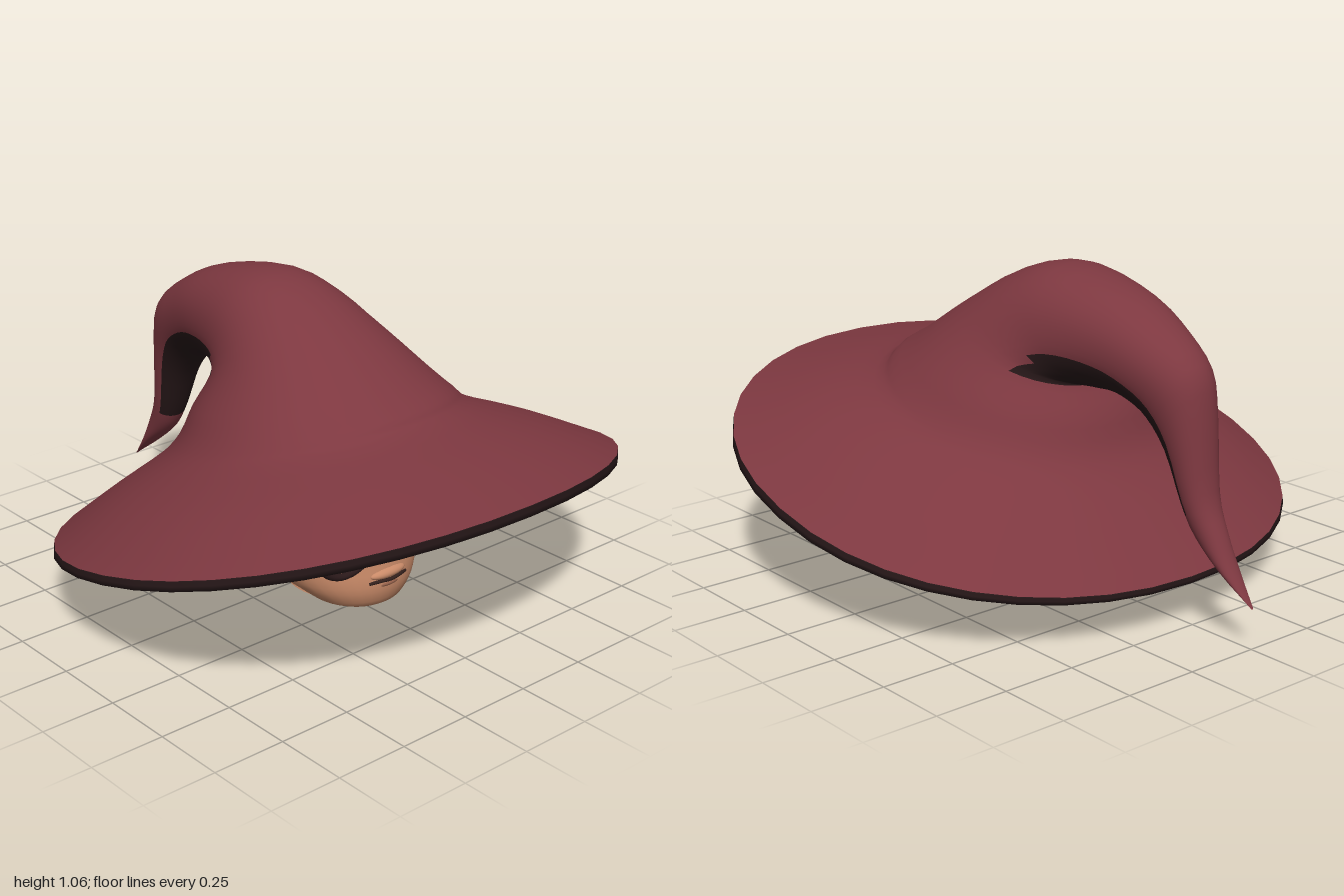
import * as THREE from 'three';

const mat = (name, color, double = false) => {
  const m = new THREE.MeshStandardMaterial({ color, side: double ? THREE.DoubleSide : THREE.FrontSide });
  m.name = name;
  return m;
};

// Loft through rings [frontZ, frontY, backZ, backY, halfWidth, sideSag], listed bottom to top.
// isDark(ringPosition, angle) picks the second material; flip turns the surface inward.
function loft(rows, { seg = 40, sub = 3, power = 1, flip = false, isDark = () => false } = {}) {
  const curve = (f) => new THREE.CatmullRomCurve3(rows.map(f), false, 'catmullrom', 0.5);
  const front = curve((r) => new THREE.Vector3(r[0], r[1], r[4]));
  const back = curve((r) => new THREE.Vector3(r[2], r[3], r[5] || 0));
  const n = (rows.length - 1) * sub;
  const pos = [], main = [], dark = [];
  const bend = (v) => Math.sign(v) * Math.abs(v) ** power;
  for (let i = 0; i <= n; i++) {
    const f = front.getPoint(i / n), b = back.getPoint(i / n);
    for (let j = 0; j < seg; j++) {
      const a = (j / seg) * Math.PI * 2;
      const c = bend(Math.cos(a)), s = bend(Math.sin(a));
      pos.push(s * Math.max(f.z, 0.002),
        (f.y + b.y) / 2 + c * (f.y - b.y) / 2 - b.z * s * s,
        (f.x + b.x) / 2 + c * (f.x - b.x) / 2);
    }
  }
  for (let i = 0; i < n; i++) for (let j = 0; j < seg; j++) {
    const k = (j + 1) % seg;
    const a = i * seg + j, b = i * seg + k, c = b + seg, d = a + seg;
    const list = isDark((i + 0.5) / sub, ((j + 0.5) / seg) * Math.PI * 2) ? dark : main;
    list.push(...(flip ? [a, c, b, a, d, c] : [a, b, c, a, c, d]));
  }
  const g = new THREE.BufferGeometry();
  g.setAttribute('position', new THREE.Float32BufferAttribute(pos, 3));
  g.setIndex([...main, ...dark]);
  g.addGroup(0, main.length, 0);
  if (dark.length) g.addGroup(main.length, dark.length, 1);
  g.computeVertexNormals();
  return g;
}

const tube = (pts, radius, n = 20) => new THREE.TubeGeometry(
  new THREE.CatmullRomCurve3(pts.map((p) => new THREE.Vector3(...p))), n, radius, 8);

export function createModel() {
  const model = new THREE.Group();
  const felt = mat('hat felt', 0x7d3840, true);
  const lining = mat('dark lining', 0x261718, true);
  const skin = mat('skin', 0xc98a68, true);
  const hairMat = mat('brown hair', 0x74501f);
  const frame = mat('glasses frame', 0x2c1a1b);
  const white = mat('eye white', 0xc4c8cc);
  const irisMat = mat('iris', 0x5a2622);
  const black = mat('pupil', 0x160d0d);
  const browMat = mat('brow', 0x33201c);
  const lipMat = mat('lip', 0x94604a);

  const add = (name, geo, material, parent = model) => {
    const m = new THREE.Mesh(geo, material);
    m.name = name;
    parent.add(m);
    return m;
  };

  // Hat: brim, crown and drooping tip in one sweep, dark under the bend
  add('hat', loft([
    [1.0, 0.62, -0.745, 0.16, 0.93, 0.03],
    [0.73, 0.665, -0.6, 0.29, 0.72, 0.01],
    [0.52, 0.70, -0.48, 0.40, 0.52],
    [0.47, 0.74, -0.41, 0.49, 0.45],
    [0.38, 0.79, -0.37, 0.6, 0.39],
    [0.2, 0.91, -0.32, 0.69, 0.30],
    [0.0, 1.02, -0.34, 0.69, 0.245],
    [-0.19, 1.06, -0.39, 0.69, 0.21],
    [-0.45, 1.01, -0.46, 0.69, 0.17],
    [-0.62, 0.93, -0.53, 0.67, 0.14],
    [-0.75, 0.83, -0.59, 0.63, 0.115],
    [-0.79, 0.7, -0.66, 0.54, 0.09],
    [-0.82, 0.45, -0.72, 0.40, 0.065],
    [-0.87, 0.33, -0.77, 0.31, 0.05],
    [-0.93, 0.22, -0.87, 0.225, 0.035],
    [-1.0, 0.13, -0.995, 0.135, 0.005],
  ], { power: 0.94, isDark: (r, a) => r > 5 && r < 12.4 && Math.cos(a) < (r < 6 ? -0.5 : -0.28) }),
  [felt, lining]);

  // Rim edge and underside of the brim
  add('hatLining', loft([
    [1.0, 0.618, -0.745, 0.158, 0.93, 0.03],
    [0.975, 0.575, -0.73, 0.14, 0.915, 0.03],
    [0.73, 0.62, -0.58, 0.24, 0.69, 0.01],
    [0.5, 0.65, -0.46, 0.36, 0.48],
    [0.36, 0.73, -0.35, 0.55, 0.37],
    [0.1, 0.82, -0.22, 0.70, 0.2],
    [-0.04, 0.82, -0.06, 0.8, 0.01],
  ], { power: 0.94, flip: true }), lining);

  // Head and open neck
  add('head', loft([
    [0.25, 0.05, 0.2, 0.055, 0.02],
    [0.36, 0.04, 0.1, 0.08, 0.15],
    [0.395, 0.09, 0.0, 0.12, 0.215],
    [0.4, 0.15, -0.15, 0.17, 0.268],
    [0.39, 0.22, -0.24, 0.22, 0.3],
    [0.395, 0.3, -0.28, 0.28, 0.315],
    [0.385, 0.37, -0.3, 0.36, 0.315],
    [0.385, 0.45, -0.3, 0.45, 0.315],
    [0.33, 0.57, -0.27, 0.56, 0.28],
    [0.2, 0.66, -0.15, 0.65, 0.18],
    [0.05, 0.69, 0.0, 0.69, 0.01],
  ]), skin);
  add('neck', loft([
    [0.185, 0.0, -0.065, 0.04, 0.117],
    [0.175, 0.06, -0.05, 0.1, 0.105],
    [0.175, 0.14, -0.05, 0.17, 0.105],
  ]), skin);

  // Nose and mouth
  const ball = (name, material, p, s, parent) => {
    const m = add(name, new THREE.SphereGeometry(1, 24, 16), material, parent);
    m.position.set(...p);
    m.scale.set(...s);
    return m;
  };
  ball('noseTip', skin, [0, 0.255, 0.4], [0.042, 0.034, 0.042]);
  ball('noseBridge', skin, [0, 0.31, 0.385], [0.024, 0.08, 0.026]).rotation.x = -0.12;
  ball('upperLip', skin, [0, 0.165, 0.385], [0.075, 0.02, 0.025]);
  ball('lowerLip', lipMat, [0, 0.128, 0.38], [0.055, 0.012, 0.024]);
  add('mouth', tube([[-0.08, 0.143, 0.385], [-0.04, 0.148, 0.402], [0, 0.147, 0.408],
    [0.04, 0.148, 0.402], [0.08, 0.143, 0.385]], 0.006), browMat);

  // Pointed ear outline, leaning back
  const earShape = new THREE.Shape();
  earShape.moveTo(0.27, 0.27);
  earShape.quadraticCurveTo(0.5, 0.285, 0.625, 0.395);
  earShape.quadraticCurveTo(0.5, 0.43, 0.4, 0.405);
  earShape.lineTo(0.27, 0.37);

  for (const s of [-1, 1]) {
    const side = s > 0 ? 'left' : 'right';

    const ear = new THREE.ExtrudeGeometry(earShape, {
      depth: 0.012, bevelEnabled: true, bevelThickness: 0.015, bevelSize: 0.01, bevelSegments: 3, curveSegments: 10,
    });
    ear.translate(0, 0, -0.006);
    if (s < 0) ear.rotateY(Math.PI);
    const p = ear.attributes.position;
    for (let i = 0; i < p.count; i++) {
      p.setZ(i, p.getZ(i) + 0.03 - (Math.abs(p.getX(i)) - 0.3) * 0.3 - (p.getY(i) - 0.33) * 0.7);
    }
    ear.computeVertexNormals();
    add(side + 'Ear', ear, skin);

    // Eye with lash line and brow, turned to follow the face
    const eye = new THREE.Group();
    eye.name = side + 'Eye';
    eye.position.set(s * 0.178, 0.335, 0.332);
    eye.rotation.y = s * 0.55;
    model.add(eye);
    ball('eyeball', white, [0, 0, 0], [0.074, 0.05, 0.028], eye);
    ball('iris', irisMat, [0, -0.006, 0.017], [0.034, 0.036, 0.014], eye);
    ball('pupil', black, [0, -0.006, 0.024], [0.018, 0.02, 0.0095], eye);
    add('lash', tube([[-0.078, 0.012, 0.008], [-0.045, 0.042, 0.018], [0, 0.053, 0.02],
      [0.045, 0.045, 0.014], [0.088, 0.022, -0.004]].map(([x, y, z]) => [s * x, y, z]), 0.01), browMat, eye);
    add('brow', tube([[-0.075, 0.115, 0.012], [-0.03, 0.133, 0.016], [0.04, 0.125, 0.01],
      [0.115, 0.085, -0.015]].map(([x, y, z]) => [s * x, y, z]), 0.016), browMat, eye);

    // Glasses: lens rim and temple
    const rim = add(side + 'GlassesRim', new THREE.TorusGeometry(0.138, 0.012, 10, 40), frame);
    rim.position.set(s * 0.178, 0.347, 0.405);
    rim.rotation.x = 0.12;
    add(side + 'Temple', tube([[s * 0.315, 0.36, 0.405], [s * 0.335, 0.375, 0.25], [s * 0.335, 0.38, 0.04]], 0.008), frame);
  }
  add('glassesBridge', tube([[-0.045, 0.365, 0.407], [-0.02, 0.387, 0.425], [0.02, 0.387, 0.425], [0.045, 0.365, 0.407]], 0.01), frame);

  // Hair: scalp cap plus a ring of tapered locks
  const cap = add('hairCap', new THREE.SphereGeometry(1, 32, 16, 0, Math.PI * 2, 0, Math.PI / 2), hairMat);
  cap.scale.set(0.345, 0.28, 0.365);
  cap.position.set(0, 0.42, 0.035);
  cap.rotation.x = -0.35;
  const lockGeo = new THREE.LatheGeometry(
    [[0, -1], [0.35, -0.8], [0.75, -0.4], [1, 0.1], [0.95, 0.5], [0.6, 0.85], [0, 1]].map((q) => new THREE.Vector2(...q)), 14);
  const count = 22;
  for (let i = 0; i < count; i++) {
    const a = ((i + 0.5) / count) * Math.PI * 2, c = Math.cos(a);
    const wobble = 0.02 * Math.sin(i * 2.4);
    const bottom = (c > 0 ? 0.38 + 0.06 * c : 0.38 + 0.17 * c) + wobble;
    const top = 0.58 + 0.07 * c;
    const lock = add('hairLock', lockGeo, hairMat);
    lock.position.set(Math.sin(a) * 0.345, (top + bottom) / 2, 0.04 + c * 0.345);
    lock.scale.set(0.068, (top - bottom) / 2, 0.036);
    lock.rotation.set(c > 0 ? -0.12 : 0.2, a, 0.12 * Math.sin(i * 1.7), 'YXZ');
  }
  return model;
}
